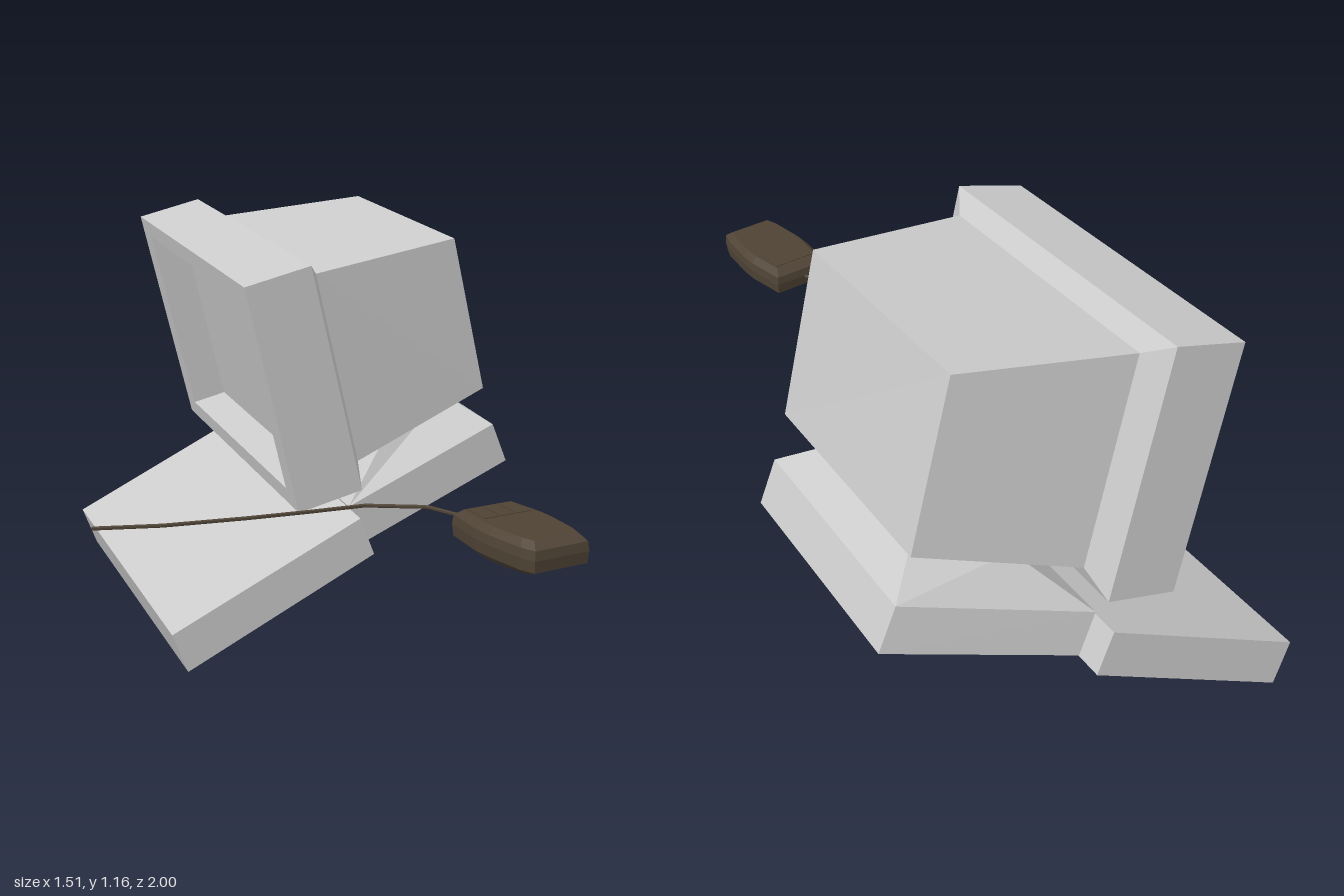
import * as THREE from 'three';

const grey = new THREE.MeshStandardMaterial({ color: 0xcccccc, flatShading: true });
const brown = new THREE.MeshStandardMaterial({ color: 0x4f4335, flatShading: true });

const V = (x, y, z) => new THREE.Vector3(x, y, z);
const WIDTH = V(0.134, 0.063, -0.989); // direction across the machine
const UP = V(-0.253, 0.967, 0.02); // monitor tilt
const DEPTH = V(0.958, 0.24, 0.149); // from screen towards the rear

// Skins a stack of equal-count rings and caps both ends; flat facets.
function loft(name, rings, material, capStart = true, capEnd = true) {
  const pos = [];
  const tri = (...p) => p.forEach((v) => pos.push(v.x, v.y, v.z));
  const n = rings[0].length;
  for (let i = 0; i + 1 < rings.length; i++) {
    const a = rings[i], b = rings[i + 1];
    for (let j = 0; j < n; j++) {
      const k = (j + 1) % n;
      tri(a[j], a[k], b[k]);
      tri(a[j], b[k], b[j]);
    }
  }
  const first = rings[0], last = rings[rings.length - 1];
  for (let j = 1; j + 1 < n; j++) {
    if (capStart) tri(first[0], first[j + 1], first[j]);
    if (capEnd) tri(last[0], last[j], last[j + 1]);
  }
  const geo = new THREE.BufferGeometry();
  geo.setAttribute('position', new THREE.Float32BufferAttribute(pos, 3));
  geo.computeVertexNormals();
  const mesh = new THREE.Mesh(geo, material);
  mesh.name = name;
  return mesh;
}

// Four corners from two near-side points, swept across by a width vector each.
const across = (a, b, wa, wb = wa) => [a, b, b.clone().add(wb), a.clone().add(wa)];
const w = (s) => WIDTH.clone().multiplyScalar(s);

function createKeyboard() {
  return loft('keyboard', [
    across(V(-0.365, 0.005, -0.03), V(0.165, 0.28, 0.06), w(0.98)),
    across(V(-0.41, 0.12, -0.03), V(0.12, 0.39, 0.06), w(0.98)),
  ], grey);
}

// Tapered system unit with a sloped pedestal under the monitor
function createBase() {
  const rear = V(0.092, 0.04, -0.66);
  return loft('systemUnit', [
    across(V(0.175, 0.286, -0.02), V(0.66, 0.46, -0.02), w(0.82), rear),
    across(V(0.13, 0.4, -0.02), V(0.61, 0.575, -0.02), w(0.82), rear),
    across(V(0.3, 0.57, -0.1), V(0.515, 0.65, -0.14), w(0.59), w(0.43)),
  ], grey);
}

function createMonitor() {
  const monitor = new THREE.Group();
  monitor.name = 'monitor';
  const origin = V(-0.055, 0.425, 0.03);
  const width = 0.955, height = 0.652;
  // Rectangle parallel to the screen, inset by iw and iu, at depth d
  const rect = (iw, iu, d) => [
    [iw, iu], [width - iw, iu], [width - iw, height - iu], [iw, height - iu],
  ].map(([a, b]) => origin.clone()
    .addScaledVector(WIDTH, a).addScaledVector(UP, b).addScaledVector(DEPTH, d));

  const recess = rect(0.07, 0.05, 0.1);
  const opening = rect(0.07, 0.05, 0);
  const back = rect(0, 0, 0.188);
  const neck = rect(0.077, 0.05, 0.22);
  const rearFace = [V(0.565, 0.69, -0.01), V(0.655, 0.73, -0.675),
    V(0.54, 1.165, -0.67), V(0.455, 1.125, -0.01)];
  monitor.add(
    loft('screen', [recess], grey, true, false),
    loft('bezel', [recess, opening, rect(0, 0, 0), back], grey, false, false),
    loft('monitorHousing', [back, neck, rearFace], grey, false, true),
  );
  return monitor;
}

function createMouse() {
  const mouse = new THREE.Group();
  mouse.name = 'mouse';
  // Half outline as [half width, z], mirrored about the centre line
  const half = [[0.083, 0.683], [0.1, 0.8], [0.1, 0.85], [0.088, 0.96], [0.075, 0.998]];
  const outline = [...half.map(([x, z]) => [-x, z]),
    ...half.slice().reverse()];
  const ring = (y, s, sz) => outline.map(([x, z]) => V(0.08 + x * s, y, 0.84 + (z - 0.84) * sz));
  mouse.add(loft('mouseBody', [
    ring(0.531, 0.82, 0.72), ring(0.546, 0.97, 0.98), ring(0.575, 1, 1),
    ring(0.598, 0.97, 0.98), ring(0.614, 0.8, 0.84),
  ], brown));

  // Three buttons at the cord end
  for (let i = -1; i <= 1; i++) {
    const button = new THREE.Mesh(new THREE.BoxGeometry(0.04, 0.006, 0.075), brown);
    button.name = 'mouseButton';
    button.position.set(0.08 + i * 0.044, 0.613, 0.755);
    mouse.add(button);
  }

  // Cord made of short straight runs
  const path = new THREE.CurvePath();
  const pts = [[-0.755, 0.297], [-0.6, 0.358], [-0.4, 0.405], [-0.25, 0.433],
    [-0.105, 0.456], [0.022, 0.54], [0.07, 0.69]].map(([x, z]) => V(x, 0.572, z));
  for (let i = 0; i + 1 < pts.length; i++) path.add(new THREE.LineCurve3(pts[i], pts[i + 1]));
  const cord = new THREE.Mesh(new THREE.TubeGeometry(path, 60, 0.005, 6), brown);
  cord.name = 'mouseCord';
  mouse.add(cord);
  return mouse;
}

export function createModel() {
  const model = new THREE.Group();
  model.name = 'desktopComputer';
  model.add(createKeyboard(), createBase(), createMonitor(), createMouse());
  return model;
}
